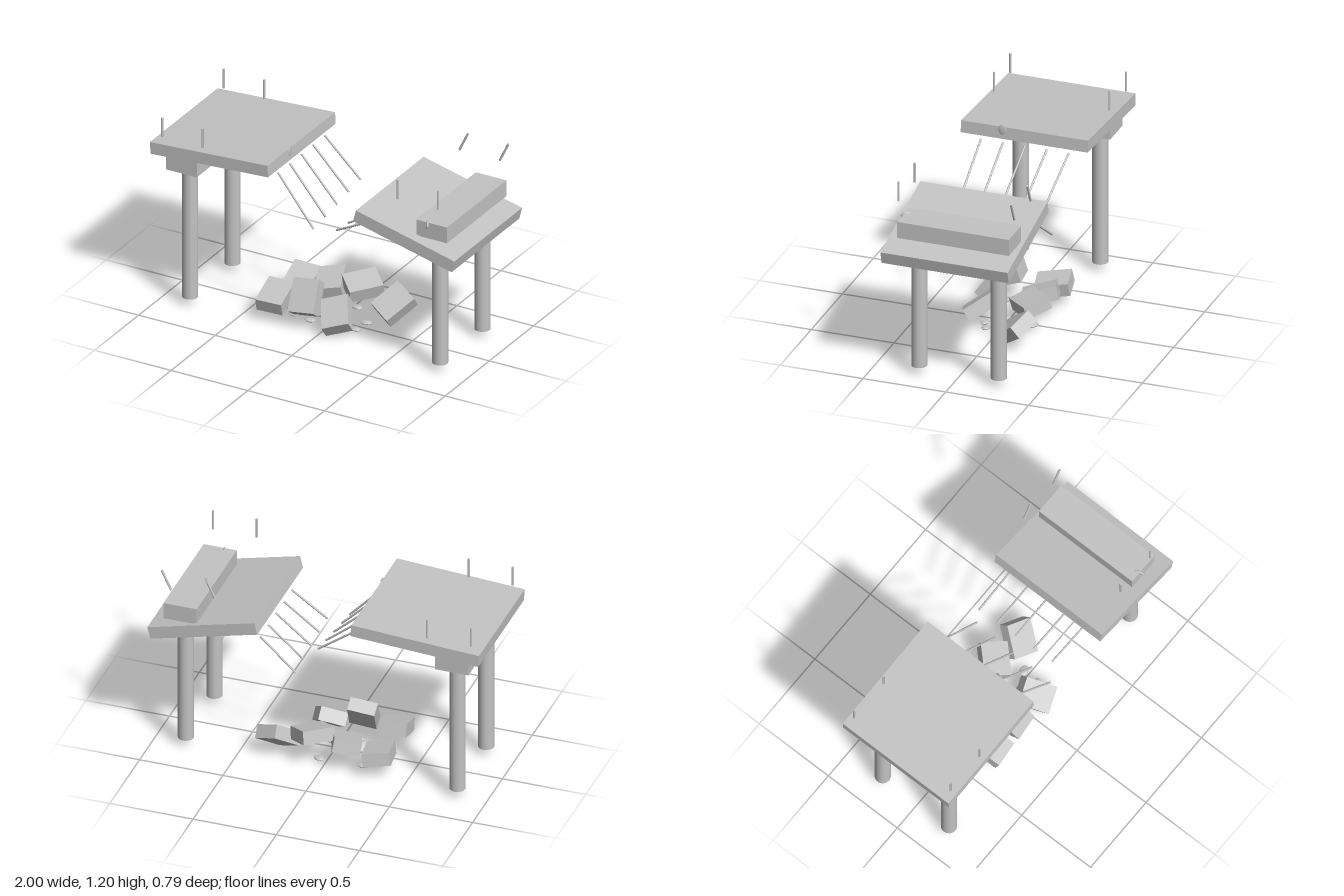
import * as THREE from 'three';

export function createModel() {
  const group = new THREE.Group();
  const concrete = new THREE.MeshStandardMaterial({ color: 0xc3c3c3 });
  concrete.name = 'concrete grey';

  function add(name, geometry, position, rotation = [0, 0, 0]) {
    const mesh = new THREE.Mesh(geometry, concrete);
    mesh.name = name;
    mesh.position.set(...position);
    mesh.rotation.set(...rotation.map(THREE.MathUtils.degToRad));
    group.add(mesh);
    return mesh;
  }

  // Steel bar between two points
  function rod(name, from, to, radius) {
    const a = new THREE.Vector3(...from), b = new THREE.Vector3(...to);
    const dir = b.clone().sub(a);
    const mesh = add(name, new THREE.CylinderGeometry(radius, radius, dir.length(), 8),
      a.clone().add(b).multiplyScalar(0.5).toArray());
    mesh.quaternion.setFromUnitVectors(new THREE.Vector3(0, 1, 0), dir.normalize());
  }

  // Flat faceted chip
  function chip(name, position, rotation, thickness = 0.01) {
    const geo = new THREE.IcosahedronGeometry(1, 1);
    geo.scale(0.034, thickness, 0.025);
    geo.computeVertexNormals();
    add(name, geo, position, rotation);
  }

  // Piers: two pillars and a cap beam on each side
  for (const x of [-0.82, 0.812]) {
    for (const z of [0.23, -0.25]) {
      add('pillar', new THREE.CylinderGeometry(0.046, 0.046, 0.83, 24), [x, 0.46, z]);
    }
    add('capBeam', new THREE.BoxGeometry(0.2, 0.1, 0.675), [x, 0.918, -0.01]);
  }

  // Broken deck halves
  add('leftDeck', new THREE.BoxGeometry(0.768, 0.073, 0.767), [-0.615, 1.027, -0.012], [0, 0, 3.4]);
  add('rightDeck', new THREE.BoxGeometry(0.662, 0.075, 0.768), [0.669, 0.848, 0.011], [0, 0, -14]);

  // Railing posts
  for (const x of [-0.94, -0.676]) {
    for (const z of [0.338, -0.36]) rod('railPost', [x, 1.075, z], [x, 1.195, z], 0.007);
  }
  for (const x of [0.597, 0.86]) {
    rod('railPost', [x, 1.075, 0.338], [x, 1.195, 0.338], 0.007);
    rod('bentRailPost', [x, 1.075, -0.362], [x + 0.056, 1.193, -0.362], 0.007);
  }

  // Reinforcing bars hanging from the broken edges
  for (let i = 0; i < 5; i++) {
    const z = -0.28 + i * 0.1325;
    rod('leftRebar', [-0.235, 0.99, z], [0.02, 0.79 - i * 0.02, z + 0.036], 0.006);
    rod('rightRebar', [0.355, 0.825, z], [0.128, 0.648 + i * 0.0135, z - 0.034], 0.006);
  }

  // Fallen rubble: position, rotation in degrees
  const rubble = [
    [[-0.12, 0.175, 0.13], [54, 8, 0]],
    [[0.08, 0.112, 0.13], [35, 26, 3]],
    [[0.29, 0.11, -0.155], [38, -30, -4]],
    [[0.08, 0.172, -0.165], [8, -44, -10]],
    [[-0.12, 0.142, -0.155], [15, 20, 6]],
    [[-0.318, 0.132, 0.13], [18, 5, -3]],
    [[-0.315, 0.115, -0.16], [10, 10, -10]],
  ];
  for (const [position, rotation] of rubble) {
    add('rubbleBlock', new THREE.BoxGeometry(0.16, 0.08, 0.2), position, rotation);
  }

  // Chips on the ground
  const spots = [[-0.1, -0.06], [0, 0.01], [0.18, -0.03], [0.03, 0.03], [0.165, 0.07],
    [-0.225, 0.08], [0.04, -0.17], [-0.22, -0.16], [-0.11, 0.1], [0.1, 0.1]];
  spots.forEach(([x, z], i) => chip('groundChip', [x, 0.018, z], [0, (i % 3 - 1) * 15, 0]));

  // Chips at the break and on the cap beams
  chip('edgeChip', [-0.233, 1.07, 0.12], [0, 0, 90], 0.006);
  chip('capChip', [0.782, 0.95, 0.318], [90, 0, 70]);
  chip('capChip', [-0.921, 0.918, 0.11], [0, 0, 90]);
  chip('capChip', [-0.72, 0.935, 0.02], [0, 0, 90]);

  return group;
}
